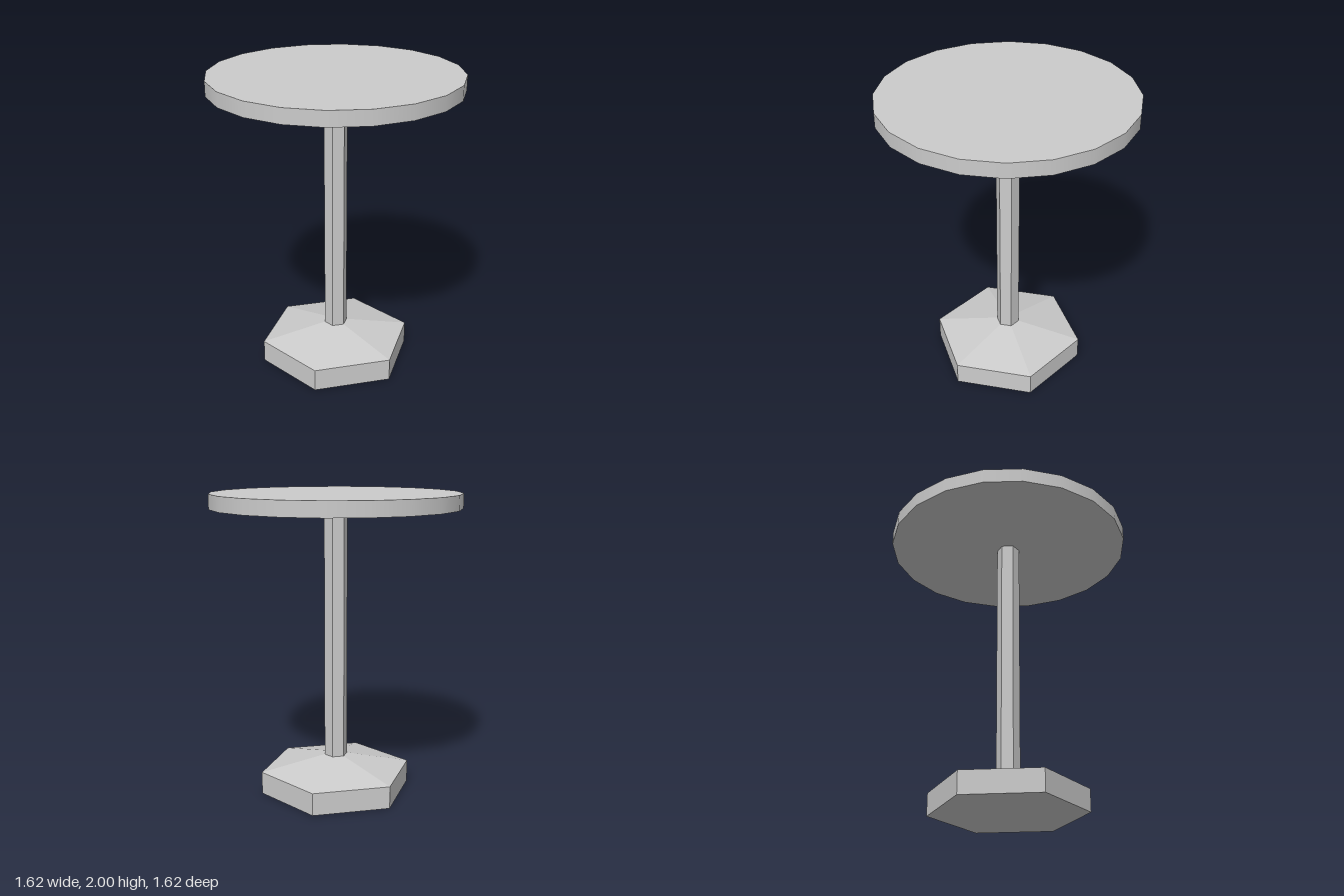
import * as THREE from 'three';

export function createModel() {
  const model = new THREE.Group();
  model.name = 'pedestalTable';
  const smooth = new THREE.MeshStandardMaterial({ color: 0xcccccc });
  const faceted = new THREE.MeshStandardMaterial({ color: 0xcccccc, flatShading: true });

  // Upright prism or frustum between two heights; turn sets the first corner
  const add = (name, material, rTop, rBottom, y0, y1, sides, turn = 0) => {
    const geometry = new THREE.CylinderGeometry(rTop, rBottom, y1 - y0, sides, 1, false, turn);
    const mesh = new THREE.Mesh(geometry, material);
    mesh.name = name;
    mesh.position.y = (y0 + y1) / 2;
    model.add(mesh);
  };

  const hexTurn = Math.PI / 6; // corners on the x axis
  const poleR = 0.077, baseR = 0.51, topR = 0.812;

  // Round top with smooth rim
  add('tableTop', smooth, topR, topR, 1.904, 2, 20);

  // Hexagonal pole
  add('pole', faceted, poleR, poleR, 0.243, 1.904, 6, hexTurn);

  // Hexagonal foot: one closed profile, slab below and sloped shoulder above
  const profile = [[0, 0], [baseR, 0], [baseR, 0.149], [poleR, 0.243], [0, 0.243]]
    .map(([r, y]) => new THREE.Vector2(r, y));
  const base = new THREE.Mesh(new THREE.LatheGeometry(profile, 6, hexTurn), faceted);
  base.name = 'base';
  model.add(base);

  return model;
}
